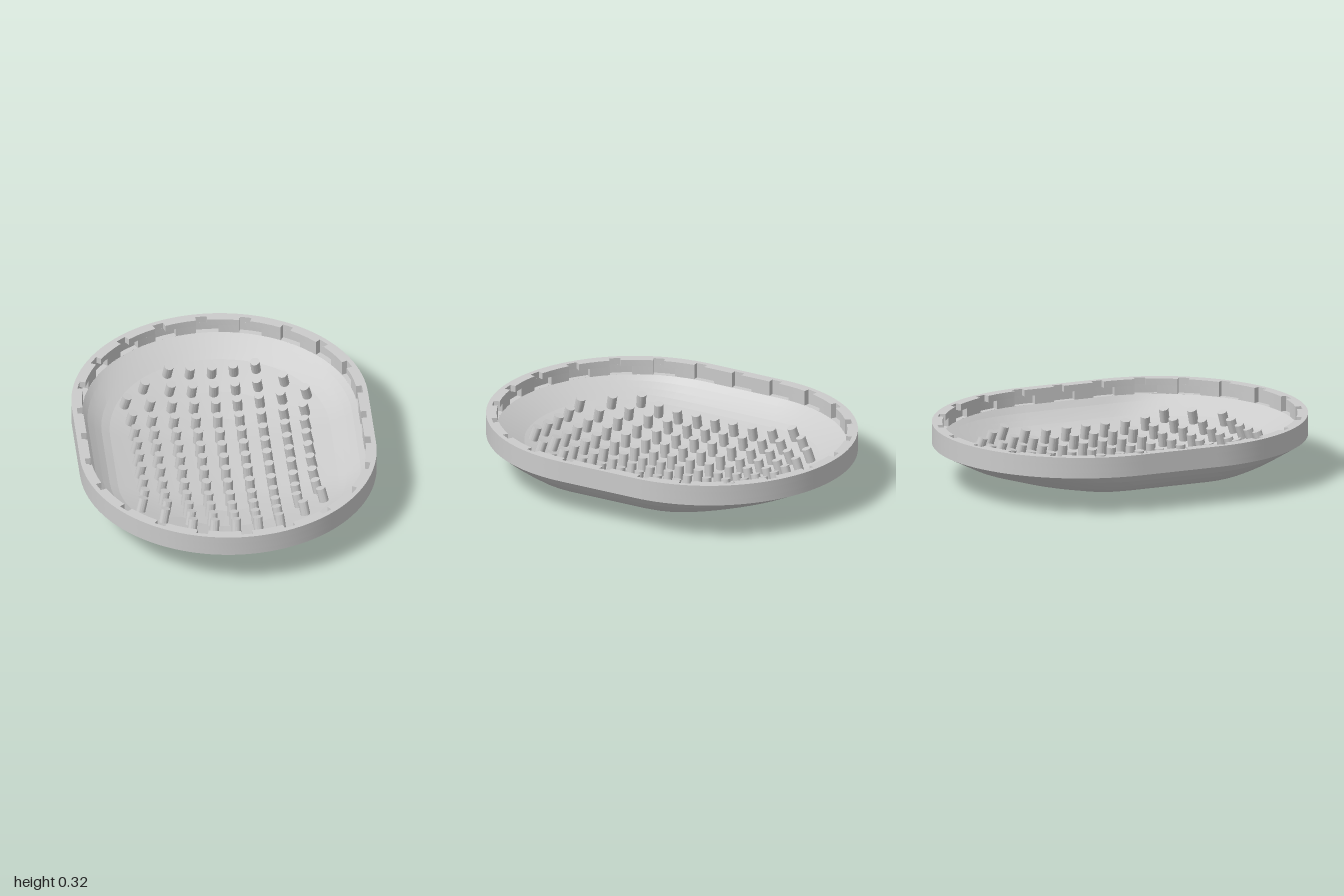
import * as THREE from 'three';
import { toCreasedNormals } from 'three/addons/utils/BufferGeometryUtils.js';

const HALF = 0.225;              // half length of the straight sides
const R_OUT = 0.775, R_IN = 0.72; // end radii of the outer and inner outline
const PERIM = 2 * Math.PI * R_IN + 4 * HALF;
const SEAM = 0.206, LIP = 0.236, FLOOR = 0.05; // heights of shell edge, floor edge, floor middle

// Cross-sections of the dish: [fraction of radius, fraction of depth]
const SIDE = [[0, 0], [0.13, 0.013], [0.26, 0.052], [0.39, 0.11], [0.52, 0.185], [0.66, 0.29],
  [0.8, 0.43], [0.86, 0.53], [0.91, 0.66], [0.96, 0.82], [1, 1]];
const END = [[0, 0], [0.26, 0.075], [0.52, 0.275], [0.8, 0.62], [1, 1]];

function sample(profile, t) {
  for (let i = 1; i < profile.length; i++) {
    const [a, ya] = profile[i - 1], [b, yb] = profile[i];
    if (t <= b) return ya + (yb - ya) * (t - a) / (b - a);
  }
  return 1;
}

// Height of the dish: the side profile fades quickly into the end profile around each end
function depthAt(t, cos) {
  const k = cos ** 6;
  return sample(SIDE, t) * k + sample(END, t) * (1 - k);
}

// Dish built from concentric stadium-shaped rings
function dish(radius, low, high, faceUp) {
  const pos = [], idx = [], half = 32, n = 2 * (half + 1);
  for (const [t] of SIDE) {
    for (let j = 0; j < n; j++) {
      const end = j <= half ? 1 : -1;
      const a = Math.PI * (j <= half ? j : j - 1) / half;
      const c = Math.cos(a), s = Math.sin(a);
      pos.push(radius * t * c, low + (high - low) * depthAt(t, c), end * HALF + radius * t * s);
    }
  }
  for (let i = 0; i < SIDE.length - 1; i++) {
    for (let j = 0; j < n; j++) {
      const k = (j + 1) % n;
      const a = i * n + j, b = i * n + k, c = a + n, d = b + n;
      if (faceUp) idx.push(a, b, d, a, d, c);
      else idx.push(a, d, b, a, c, d);
    }
  }
  const g = new THREE.BufferGeometry();
  g.setAttribute('position', new THREE.Float32BufferAttribute(pos, 3));
  g.setIndex(idx);
  return toCreasedNormals(g, 0.1);
}

// Point at distance s along the inner outline, pushed outward by "out"; s = 0 is the back middle
function outline(s, out) {
  const q = Math.PI * R_IN / 2, r = R_IN + out;
  s = ((s % PERIM) + PERIM) % PERIM;
  const flip = s >= PERIM / 2 ? -1 : 1;
  if (flip < 0) s -= PERIM / 2;
  let x, z;
  if (s < q) {
    x = r * Math.sin(s / R_IN);
    z = -HALF - r * Math.cos(s / R_IN);
  } else if (s < q + 2 * HALF) {
    x = r;
    z = s - q - HALF;
  } else {
    const a = (s - q - 2 * HALF) / R_IN;
    x = r * Math.cos(a);
    z = HALF + r * Math.sin(a);
  }
  return new THREE.Vector2(flip * x, -flip * z);
}

// One level of the rim, its inner edge cut by 24 slots running from a to b (none if a = b)
function rimLayer(y0, y1, a, b) {
  const outer = [], inner = [], step = PERIM / 24;
  for (let i = 0; i < 144; i++) outer.push(outline(i * PERIM / 144, R_OUT - R_IN));
  for (let i = 0; i < 24; i++) {
    const s = i * step;
    if (b > a) {
      for (const u of [0, 0.5, 1]) inner.push(outline(s + a + (b - a) * u, 0.03));
    }
    for (const u of [0, 0.33, 0.67, 0.999]) inner.push(outline(s + b + (step - b + a) * u, 0));
  }
  // The hole runs against the outer edge so that its walls face inward
  const shape = new THREE.Shape(outer.reverse());
  shape.holes.push(new THREE.Path(inner));
  const g = new THREE.ExtrudeGeometry(shape, { depth: y1 - y0, bevelEnabled: false });
  g.rotateX(-Math.PI / 2);
  g.translate(0, y0, 0);
  return toCreasedNormals(g, 0.4);
}

function floorY(x, z) {
  const dz = Math.max(Math.abs(z) - HALF, 0), r = Math.hypot(x, dz);
  return FLOOR + (LIP - FLOOR) * depthAt(r / R_IN, r ? x / r : 1);
}

export function createModel() {
  const model = new THREE.Group();
  model.name = 'pinTray';
  const mat = new THREE.MeshStandardMaterial({ color: 0xcccccc });
  const add = (parent, geometry, name) => {
    const mesh = new THREE.Mesh(geometry, mat);
    mesh.name = name;
    parent.add(mesh);
    return mesh;
  };

  // Shell
  add(model, dish(R_OUT, 0, SEAM, false), 'outerShell');
  add(model, dish(R_IN, FLOOR, LIP, true), 'innerFloor');

  // Rim: plain base, long locking slots, then short entry slots on top
  const rim = new THREE.Group();
  rim.name = 'rim';
  model.add(rim);
  add(rim, rimLayer(SEAM, LIP, 0, 0), 'rimBase');
  add(rim, rimLayer(LIP, 0.282, -0.058, 0.06), 'rimLockingSlots');
  add(rim, rimLayer(0.282, 0.317, -0.058, 0), 'rimEntrySlots');

  // Pins standing square to the curved floor
  const pins = new THREE.Group();
  pins.name = 'pins';
  model.add(pins);
  const cylinder = new THREE.CylinderGeometry(0.025, 0.025, 0.1, 16);
  cylinder.translate(0, 0.026, 0);
  const pinGeo = toCreasedNormals(cylinder, 0.6);
  const up = new THREE.Vector3(0, 1, 0), e = 0.06;
  // Rows: z, pins on each side of the middle, x of the outermost pin
  const rows = [[0, 4, 0.455], [0.11, 4, 0.455], [0.227, 4, 0.455], [0.35, 4, 0.46],
    [0.468, 4, 0.48], [0.585, 3, 0.372], [0.702, 2, 0.234]];
  for (const [z0, count, last] of rows) {
    for (const z of z0 ? [z0, -z0] : [0]) {
      for (let i = -count; i <= count; i++) {
        const x = Math.abs(i) === count ? Math.sign(i) * last : i * 0.117;
        const normal = new THREE.Vector3(
          (floorY(x - e, z) - floorY(x + e, z)) / (2 * e), 1,
          (floorY(x, z - e) - floorY(x, z + e)) / (2 * e)).normalize();
        const pin = add(pins, pinGeo, 'pin');
        pin.position.set(x, floorY(x, z), z);
        pin.quaternion.setFromUnitVectors(up, normal);
      }
    }
  }
  return model;
}
